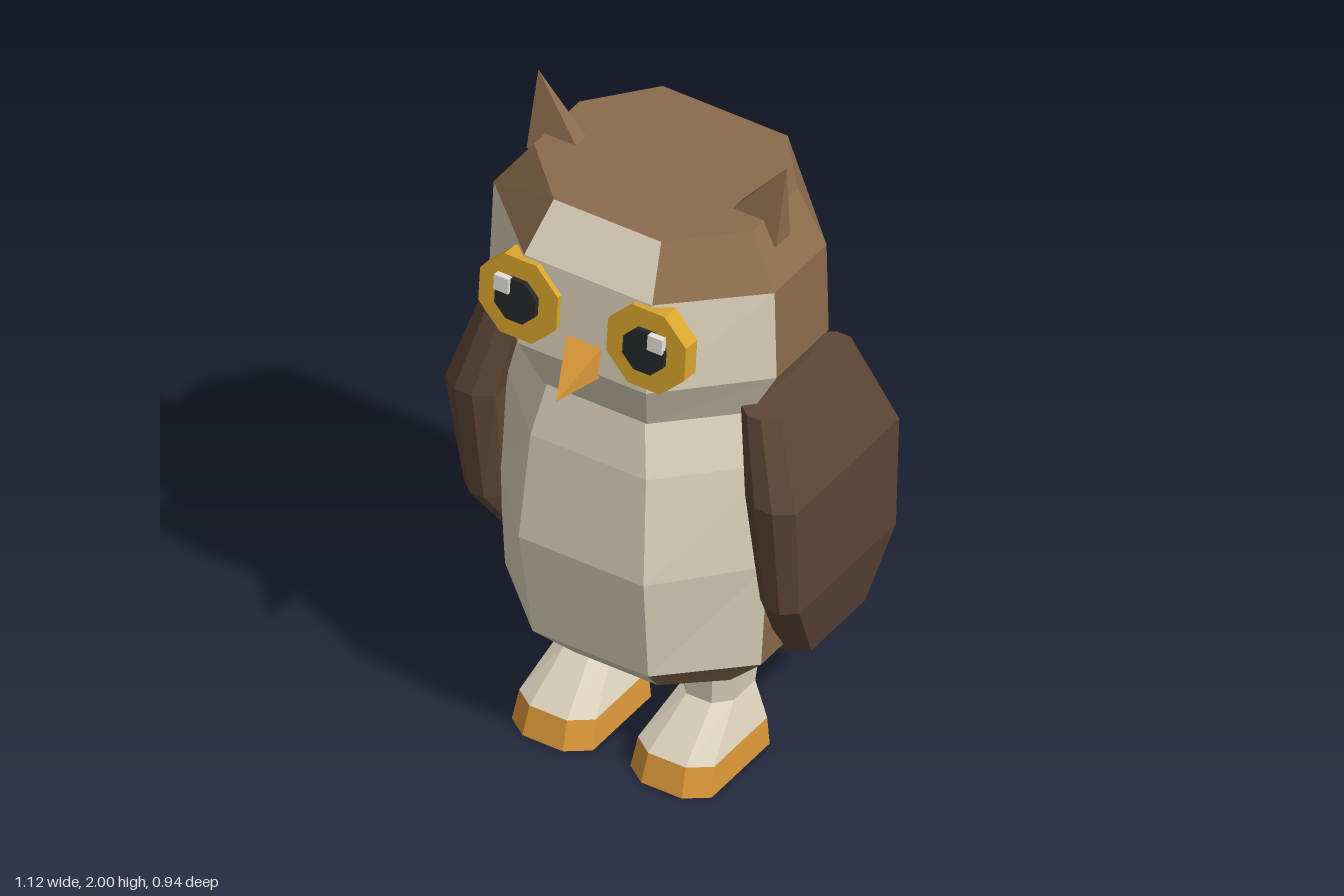
import * as THREE from 'three';
import { ConvexGeometry } from 'three/addons/geometries/ConvexGeometry.js';

const flat = (name, color) => {
  const m = new THREE.MeshStandardMaterial({ color, flatShading: true });
  m.name = name;
  return m;
};

// Eight-cornered horizontal cross-section, starting at the front and turning towards +x
function ring(y, cx, side, front, back, zFront, zSideFront, zSideBack, zBack) {
  return [
    [front, zFront], [side, zSideFront], [side, zSideBack], [back, zBack],
    [-back, zBack], [-side, zSideBack], [-side, zSideFront], [-front, zFront],
  ].map(([x, z]) => new THREE.Vector3(cx + x, y, z));
}

// Skin the rings from bottom to top; pick(row, side) gives the material index of each panel
function loft(rings, pick = () => 0) {
  const buckets = [[], []];
  const n = rings[0].length;
  const add = (m, ...pts) => pts.forEach((p) => buckets[m].push(p));
  for (let r = 0; r < rings.length - 1; r++) {
    for (let i = 0; i < n; i++) {
      const j = (i + 1) % n, a = rings[r], b = rings[r + 1];
      add(pick(r, i), a[i], a[j], b[j], a[i], b[j], b[i]);
    }
  }
  const low = rings[0], top = rings[rings.length - 1];
  for (let i = 1; i < n - 1; i++) {
    add(0, low[0], low[i + 1], low[i]);
    add(0, top[0], top[i], top[i + 1]);
  }
  const geo = new THREE.BufferGeometry().setFromPoints(buckets.flat());
  geo.addGroup(0, buckets[0].length, 0);
  if (buckets[1].length) geo.addGroup(buckets[0].length, buckets[1].length, 1);
  geo.computeVertexNormals();
  return geo;
}

const hull = (pts) => new ConvexGeometry(pts.map((p) => new THREE.Vector3(...p)));

export function createModel() {
  const model = new THREE.Group();
  model.name = 'owl';
  const brown = flat('brown feathers', 0x8b6b4c);
  const dark = flat('dark wing feathers', 0x5f4738);
  const cream = flat('cream feathers', 0xdcd2bc);
  const gold = flat('gold eye rim', 0xdaa62e);
  const orange = flat('orange', 0xdb9838);
  const black = flat('black pupil', 0x26272a);
  const white = flat('white glint', 0xe8e4da);

  const put = (name, geo, mat, parent = model) => {
    const mesh = new THREE.Mesh(geo, mat);
    mesh.name = name;
    parent.add(mesh);
    return mesh;
  };
  const isFront = (i) => i === 7;
  const isFrontHalf = (i) => i === 7 || i === 0 || i === 6;

  // Body with cream chest
  put('body', loft([
    ring(0.29, 0, 0.285, 0.135, 0.14, 0.175, 0.05, -0.13, -0.33),
    ring(0.42, 0, 0.41, 0.185, 0.19, 0.30, 0.09, -0.15, -0.385),
    ring(0.76, 0, 0.43, 0.20, 0.205, 0.345, 0.09, -0.16, -0.41),
    ring(1.09, 0, 0.41, 0.185, 0.19, 0.31, 0.085, -0.16, -0.40),
    ring(1.26, 0, 0.36, 0.155, 0.17, 0.27, 0.07, -0.16, -0.37),
  ], (r, i) => ((r === 0 ? isFront(i) : isFrontHalf(i)) ? 1 : 0)), [brown, cream]);

  // Head with cream face and brow
  put('head', loft([
    ring(1.25, 0, 0.37, 0.165, 0.175, 0.275, 0.08, -0.155, -0.372),
    ring(1.41, 0, 0.46, 0.205, 0.21, 0.34, 0.09, -0.165, -0.405),
    ring(1.69, 0, 0.45, 0.205, 0.21, 0.31, 0.085, -0.17, -0.402),
    ring(1.83, 0, 0.35, 0.172, 0.2, 0.215, 0.04, -0.182, -0.362),
  ], (r, i) => ((r === 2 ? isFront(i) : isFrontHalf(i)) ? 1 : 0)), [brown, cream]);

  // Beak
  put('beak', hull([
    [-0.058, 1.5, 0.325], [0.058, 1.5, 0.325], [-0.058, 1.4, 0.325], [0.058, 1.4, 0.325],
    [0, 1.38, 0.468],
  ]), orange);

  // Tail
  const tail = [];
  for (const x of [-0.19, 0.19]) {
    tail.push([x, 0.315, -0.47], [x, 0.37, -0.47], [x, 0.42, -0.27], [x, 0.5, -0.27]);
  }
  put('tail', hull(tail), brown);

  for (const s of [1, -1]) {
    const label = s > 0 ? 'left' : 'right';

    // Wing: flattened slab with chamfered edges
    const wing = [
      // y, inner x, outer x, front z, back z
      [0.38, 0.34, 0.46, -0.045, -0.378],
      [0.65, 0.41, 0.537, 0.132, -0.412],
      [1.03, 0.40, 0.562, 0.188, -0.39],
      [1.29, 0.355, 0.483, 0.14, -0.302],
    ].map(([y, xi, xo, zf, zb]) => {
      const half = (xo - xi) / 2;
      return ring(y, s * (xi + xo) / 2, half, half * 0.35, half * 0.35,
        zf, zf - 0.035, zb + 0.035, zb);
    });
    put(label + 'Wing', loft(wing), dark);

    // Leg and foot
    const sole = ring(0.085, s * 0.19, 0.122, 0.06, 0.062, 0.215, 0.17, -0.09, -0.138);
    put(label + 'Foot', loft([
      ring(0, s * 0.19, 0.13, 0.065, 0.066, 0.242, 0.195, -0.09, -0.14), sole,
    ]), orange);
    put(label + 'Leg', loft([
      sole,
      ring(0.2, s * 0.195, 0.082, 0.04, 0.04, 0.065, 0.02, -0.085, -0.122),
      ring(0.32, s * 0.195, 0.097, 0.048, 0.048, 0.072, 0.02, -0.09, -0.135),
    ]), cream);

    // Ear tuft
    put(label + 'Tuft', hull([
      [s * 0.4, 1.77, 0], [s * 0.4, 1.77, -0.068], [s * 0.2, 1.77, 0], [s * 0.2, 1.77, -0.068],
      [s * 0.398, 2, -0.055],
    ]), brown);

    // Eye: rim, pupil and glint, leaning back slightly
    const eye = new THREE.Group();
    eye.name = label + 'Eye';
    eye.position.set(s * 0.205, 1.56, 0.34);
    eye.rotation.x = -0.09;
    model.add(eye);
    const disc = (r, depth) =>
      new THREE.CylinderGeometry(r, r, depth, 8, 1, false, Math.PI / 8).rotateX(Math.PI / 2);
    put('eyeRim', disc(0.135, 0.056), gold, eye).position.z = -0.028;
    put('pupil', disc(0.07, 0.02), black, eye).position.z = 0.006;
    put('glint', new THREE.BoxGeometry(0.047, 0.047, 0.02), white, eye)
      .position.set(s * 0.041, 0.043, 0.016);
  }
  return model;
}
